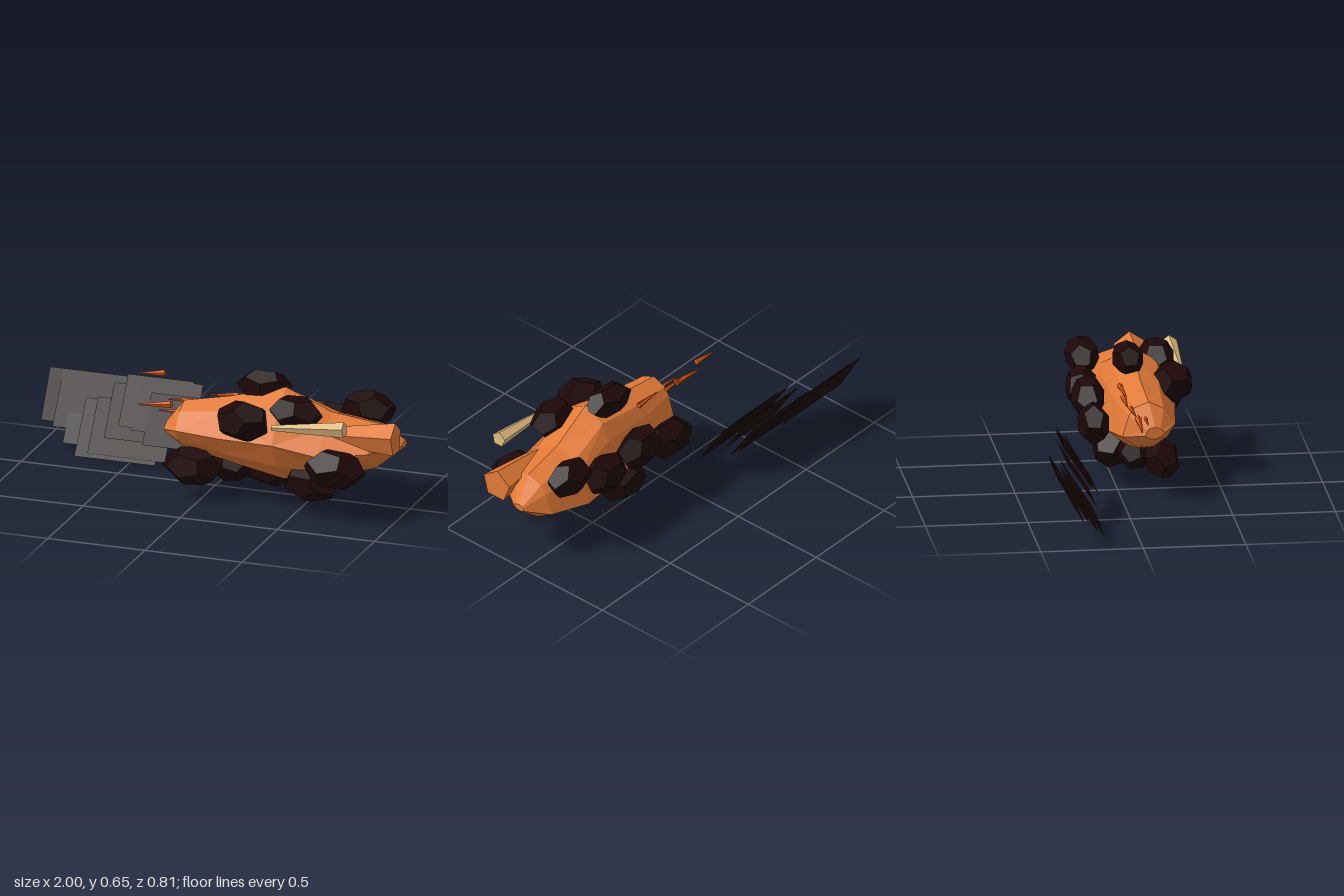
import * as THREE from 'three';

const mat = (name, color, extra = {}) => {
  const m = new THREE.MeshStandardMaterial({ color, flatShading: true, ...extra });
  m.name = name;
  return m;
};

export function createModel() {
  const group = new THREE.Group();
  const orange = mat('orange shell', 0xe27a38);
  const dark = mat('dark lumps', 0x1e0708);
  const sheet = mat('dark sheets', 0x1c0607, { side: THREE.DoubleSide });
  const beige = mat('pale horn', 0xdeba80);
  const ember = mat('ember spikes', 0xd4560f);

  const add = (name, geo, material) => {
    const mesh = new THREE.Mesh(geo, material);
    mesh.name = name;
    group.add(mesh);
    return mesh;
  };

  // Uneven cross-section of the body as [z, y], from the top towards the front
  const section = [
    [-0.02, 1], [0.55, 0.7], [1, 0], [0.68, -0.55], [0.16, -0.97],
    [-0.4, -1], [-1, -0.5], [-0.76, 0.42], [-0.55, 0.76],
  ];
  // Rings of the body: x, bottom, top, back z, front z
  const stations = [
    [-0.19, 0.305, 0.365, 0.11, 0.21],
    [-0.11, 0.24, 0.47, 0.01, 0.27],
    [0.12, 0.185, 0.515, -0.04, 0.295],
    [0.41, 0.13, 0.595, -0.08, 0.335],
    [0.64, 0.16, 0.49, -0.1, 0.32],
    [0.87, 0.23, 0.455, -0.06, 0.245],
    [0.99, 0.33, 0.365, 0.01, 0.08],
  ];
  const sides = section.length;
  const rings = stations.map(([x, y0, y1, z0, z1]) => section.map(([z, y]) =>
    [x, (y0 + y1 + y * (y1 - y0)) / 2, (z0 + z1 + z * (z1 - z0)) / 2]));
  const pos = [];
  const tri = (...pts) => pts.forEach(p => pos.push(...p));
  const centre = ([x, y0, y1, z0, z1]) => [x, (y0 + y1) / 2, (z0 + z1) / 2];
  const last = rings.length - 1;
  for (let j = 0; j < sides; j++) {
    const k = (j + 1) % sides;
    for (let i = 0; i < last; i++) {
      const a = rings[i], b = rings[i + 1];
      if ((i + j) % 2 === 0) {
        tri(a[j], a[k], b[j]);
        tri(a[k], b[k], b[j]);
      } else {
        tri(a[j], b[k], b[j]);
        tri(a[j], a[k], b[k]);
      }
    }
    tri(centre(stations[0]), rings[0][k], rings[0][j]);
    tri(centre(stations[last]), rings[last][j], rings[last][k]);
  }
  const body = new THREE.BufferGeometry();
  body.setAttribute('position', new THREE.Float32BufferAttribute(pos, 3));
  body.computeVertexNormals();
  add('body', body, orange);

  // Tapered five-sided spike between two points, one ridge facing up
  const spike = (name, from, to, r0, r1, material) => {
    const a = new THREE.Vector3(...from), b = new THREE.Vector3(...to);
    const d = b.clone().sub(a);
    const mesh = add(name, new THREE.CylinderGeometry(r1, r0, d.length(), 5), material);
    mesh.position.copy(a).add(b).multiplyScalar(0.5);
    mesh.quaternion.setFromUnitVectors(new THREE.Vector3(0, 1, 0), d.normalize());
    mesh.rotateY(-Math.PI / 2);
  };
  spike('tailHorn', [0.6, 0.4, 0.2], [0.995, 0.415, 0.185], 0.035, 0.084, orange);
  spike('paleHorn', [0.42, 0.465, 0.36], [0.79, 0.495, 0.35], 0.014, 0.04, beige);
  [
    [[-0.385, 0.53, 0.0], [-0.26, 0.543, -0.004], 0.016],
    [[-0.37, 0.395, 0.075], [-0.2, 0.415, 0.075], 0.018],
    [[-0.22, 0.435, 0.06], [-0.1, 0.44, 0.05], 0.012],
    [[-0.25, 0.395, 0.118], [-0.14, 0.4, 0.118], 0.01],
    [[-0.16, 0.25, 0.1], [-0.06, 0.262, 0.1], 0.015],
    [[-0.02, 0.474, 0.04], [0.13, 0.486, 0.025], 0.014],
  ].forEach(([a, b, r]) => spike('emberSpike', a, b, 0.003, r, ember));

  // Rough lumps clustered around the body: centre, then radii
  [
    [0.285, 0.578, 0.085, 0.14, 0.076, 0.077],
    [0.25, 0.46, 0.3, 0.138, 0.1, 0.1],
    [0.505, 0.515, 0.25, 0.135, 0.088, 0.088],
    [0.73, 0.275, 0.32, 0.155, 0.1, 0.084],
    [0.58, 0.16, 0.225, 0.15, 0.092, 0.09],
    [-0.04, 0.165, 0.21, 0.15, 0.095, 0.088],
    [0.28, 0.135, 0.01, 0.138, 0.097, 0.102],
    [0.12, 0.155, 0.1, 0.1, 0.085, 0.085],
    [0.76, 0.46, -0.08, 0.135, 0.088, 0.082],
    [0.53, 0.37, -0.11, 0.133, 0.1, 0.08],
    [0.28, 0.39, -0.11, 0.14, 0.1, 0.08],
    [0.06, 0.32, -0.11, 0.138, 0.1, 0.077],
  ].forEach(([x, y, z, rx, ry, rz], n) => {
    const geo = new THREE.DodecahedronGeometry(1.04, 0);
    geo.rotateX(n * 1.3).rotateY(n * 0.7).scale(rx, ry, rz);
    add('lump', geo, dark).position.set(x, y, z);
  });

  // Trail of overlapping tilted sheets: x range, y range, z range
  [
    [-1, -0.57, 0.12, 0.35, -0.28, -0.41],
    [-0.93, -0.52, 0.105, 0.35, -0.25, -0.405],
    [-0.86, -0.47, 0.045, 0.3, -0.2, -0.385],
    [-0.785, -0.37, 0, 0.245, -0.16, -0.33],
    [-0.72, -0.32, 0.02, 0.26, -0.165, -0.32],
    [-0.64, -0.27, 0.105, 0.34, -0.18, -0.33],
    [-0.57, -0.23, 0.17, 0.39, -0.19, -0.335],
    [-0.5, -0.18, 0.16, 0.385, -0.18, -0.325],
    [-0.43, -0.13, 0.105, 0.33, -0.145, -0.28],
  ].forEach(([x0, x1, y0, y1, zLow, zHigh]) => {
    const h = y1 - y0, d = zHigh - zLow;
    const plane = add('trailSheet', new THREE.PlaneGeometry(x1 - x0, Math.hypot(h, d)), sheet);
    plane.position.set((x0 + x1) / 2, (y0 + y1) / 2, (zLow + zHigh) / 2);
    plane.rotation.x = Math.atan2(d, h);
  });

  return group;
}
